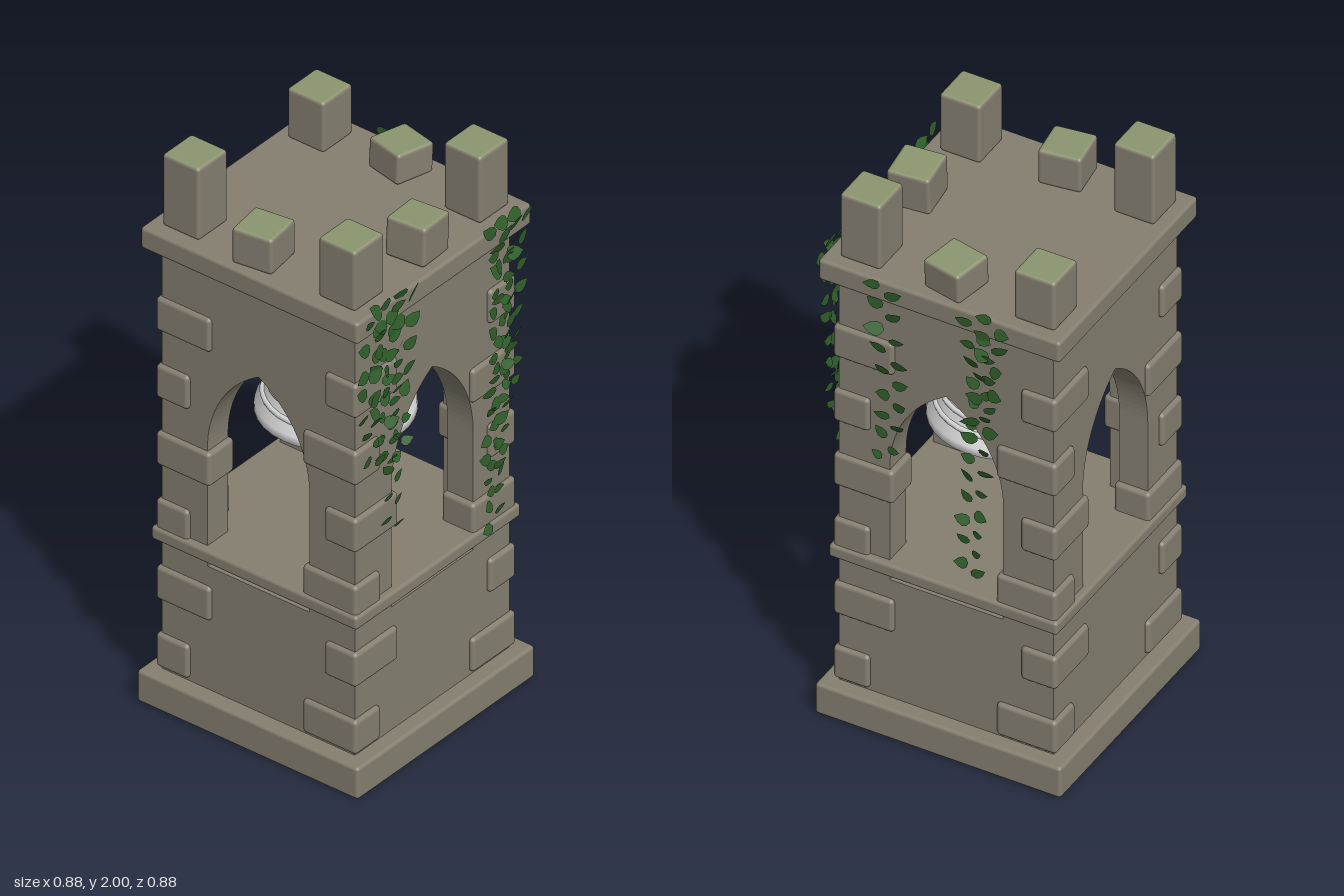
import * as THREE from 'three';
import { RoundedBoxGeometry } from 'three/addons/geometries/RoundedBoxGeometry.js';
import { mergeGeometries } from 'three/addons/utils/BufferGeometryUtils.js';

const mat = (name, color, side = THREE.FrontSide) => {
  const m = new THREE.MeshStandardMaterial({ color, side });
  m.name = name;
  return m;
};

export function createModel() {
  const stone = mat('stone', 0x857f70);
  const moss = mat('moss', 0x8c966f);
  const silver = mat('bell metal', 0xdadada, THREE.DoubleSide);
  const iron = mat('dark iron', 0x57534a);
  const leafGreen = mat('ivy green', 0x2f5e2a, THREE.DoubleSide);

  const model = new THREE.Group();
  model.name = 'bellTower';
  const tower = new THREE.Group();
  tower.name = 'tower';
  tower.position.set(-0.005, 0, -0.005);
  model.add(tower);

  const add = (name, geometry, material, parent = tower) => {
    const m = new THREE.Mesh(geometry, material);
    m.name = name;
    parent.add(m);
    return m;
  };
  // Rounded stone block given by its bottom and top heights
  const block = (name, w, d, y0, y1, x = 0, z = 0, r = 0.012, material = stone) => {
    const m = add(name, new RoundedBoxGeometry(w, y1 - y0, d, 2, r), material);
    m.position.set(x, (y0 + y1) / 2, z);
    return m;
  };

  // Slabs and solid lower storey
  block('plinth', 0.86, 0.86, 0, 0.115);
  add('lowerStorey', new THREE.BoxGeometry(0.75, 0.455, 0.75), stone).position.y = 0.3375;
  block('stringCourse', 0.8, 0.8, 0.592, 0.64);
  block('roofSlab', 0.845, 0.845, 1.662, 1.74);

  // Four walls, each cut by a pointed arch
  const y0 = 0.565, y1 = 1.67, spring = 1.0, w = 0.198, thick = 0.1;
  const wallGeometry = (half) => {
    const s = new THREE.Shape();
    s.moveTo(-half, y0);
    s.lineTo(-w, y0);
    s.lineTo(-w, spring);
    s.absarc(w, spring, 2 * w, Math.PI, Math.PI * 2 / 3, true);
    s.absarc(-w, spring, 2 * w, Math.PI / 3, 0, true);
    s.lineTo(w, y0);
    s.lineTo(half, y0);
    s.lineTo(half, y1);
    s.lineTo(-half, y1);
    s.closePath();
    const g = new THREE.ExtrudeGeometry(s, { depth: thick, bevelEnabled: false, curveSegments: 10 });
    return g.translate(0, 0, 0.375 - thick);
  };
  ['frontWall', 'leftWall', 'backWall', 'rightWall'].forEach((name, i) => {
    add(name, wallGeometry(i % 2 ? 0.275 : 0.375), stone).rotation.y = i * Math.PI / 2;
  });

  // Alternating long and short corner stones
  const long = 0.21, short = 0.125, outer = 0.39;
  for (const sx of [-1, 1]) for (const sz of [-1, 1]) for (let i = 0; i < 6; i++) {
    const longInX = (sx * sz > 0) === (i % 2 === 0);
    const bw = longInX ? long : short, bd = longInX ? short : long;
    const y = 0.125 + i * 0.2465;
    block('cornerStone', bw, bd, y, y + 0.122, sx * (outer - bw / 2), sz * (outer - bd / 2), 0.014);
  }

  // Battlements with mossy tops: x, z, top, yaw, lean
  const capped = [stone, stone, moss, stone, stone, stone];
  [
    [-0.302, 0.302, 1.955, 0, 0], [0.305, 0.302, 1.98, 0, 0],
    [-0.3, -0.307, 2.0, 0, 0], [0.305, -0.307, 1.92, 0, 0],
    [-0.317, -0.027, 1.865, 0.14, 0], [0.32, -0.003, 1.845, -0.21, -0.05], [0.003, 0.315, 1.875, 0.1, -0.06],
  ].forEach(([x, z, top, yaw, lean]) => {
    const m = block('merlon', 0.143, 0.143, 1.737, top, x, z, 0.012, capped);
    m.rotation.set(0, yaw, lean);
  });

  // Bell with flared lip, two raised rings and a hanging beam
  const bell = new THREE.Group();
  bell.name = 'bell';
  tower.add(bell);
  const profile = [[0.215, 1.06], [0.235, 1.04], [0.25, 1.04], [0.247, 1.065], [0.222, 1.1], [0.2, 1.15],
    [0.178, 1.2], [0.158, 1.26], [0.146, 1.33], [0.135, 1.39], [0.105, 1.43], [0.05, 1.45], [0, 1.452]];
  add('bellBody', new THREE.LatheGeometry(profile.map(p => new THREE.Vector2(...p)), 32), silver, bell);
  for (const [r, y] of [[0.223, 1.1], [0.205, 1.14]]) {
    const ring = add('bellRing', new THREE.TorusGeometry(r, 0.009, 8, 32), silver, bell);
    ring.rotation.x = Math.PI / 2;
    ring.position.y = y;
  }
  add('bellBeam', new THREE.BoxGeometry(0.58, 0.06, 0.042), iron, bell).position.y = 1.34;

  // Ivy: alternating pointed leaves down hanging strands
  let seed = 7;
  const rand = () => (seed = (seed * 16807) % 2147483647) / 2147483647;
  const jitter = a => (rand() * 2 - 1) * a;
  const leafShape = new THREE.Shape();
  leafShape.moveTo(0, 0);
  leafShape.bezierCurveTo(0.006, 0.03, 0.034, 0.026, 0.06, 0);
  leafShape.bezierCurveTo(0.034, -0.026, 0.006, -0.03, 0, 0);
  const leaf = new THREE.ShapeGeometry(leafShape, 4);

  // Strand path as [sideways, height] points on one face of the tower
  const strand = (name, points, yaw) => {
    const curve = new THREE.CatmullRomCurve3(points.map(([u, y]) => new THREE.Vector3(u, y, 0)));
    const count = Math.round(curve.getLength() / 0.041);
    const leaves = [];
    for (let i = 0; i <= count; i++) {
      const p = curve.getPointAt(i / count);
      const side = i % 2 ? 1 : -1;
      const size = (1.05 - 0.25 * i / count) * (1 + jitter(0.15));
      const tilt = 0.35 + jitter(0.55);
      const g = leaf.clone();
      g.rotateX(jitter(0.5));
      g.rotateY(-0.1 + jitter(0.25));
      g.scale(size, size, size);
      g.rotateZ(side > 0 ? tilt : Math.PI - tilt);
      g.translate(p.x + side * 0.006, p.y, 0.425 - 0.012 * i / count);
      leaves.push(g);
    }
    const mesh = add(name, mergeGeometries(leaves), leafGreen, model);
    mesh.rotation.y = yaw;
  };
  [
    [[-0.36, 1.7], [-0.375, 1.4], [-0.34, 1.17]],
    [[-0.27, 1.75], [-0.32, 1.4], [-0.25, 1.1], [-0.25, 0.9]],
    [[-0.31, 1.72], [-0.27, 1.5], [-0.29, 1.25]],
    [[-0.19, 1.74], [-0.21, 1.5], [-0.22, 1.15]],
    [[0.24, 1.72], [0.29, 1.4], [0.23, 1.0], [0.24, 0.65]],
    [[0.3, 1.74], [0.25, 1.4], [0.27, 1.1], [0.25, 0.78]],
    [[0.36, 1.75], [0.33, 1.5], [0.32, 1.12]],
  ].forEach(p => strand('frontIvy', p, 0));
  [
    [[-0.19, 1.73], [-0.17, 1.45], [-0.16, 1.25], [-0.19, 1.06]],
    [[0.2, 1.74], [0.17, 1.45], [0.13, 1.1], [0.11, 0.73]],
    [[0.13, 1.7], [0.15, 1.5], [0.14, 1.3]],
  ].forEach(p => strand('sideIvy', p, Math.PI / 2));

  return model;
}
